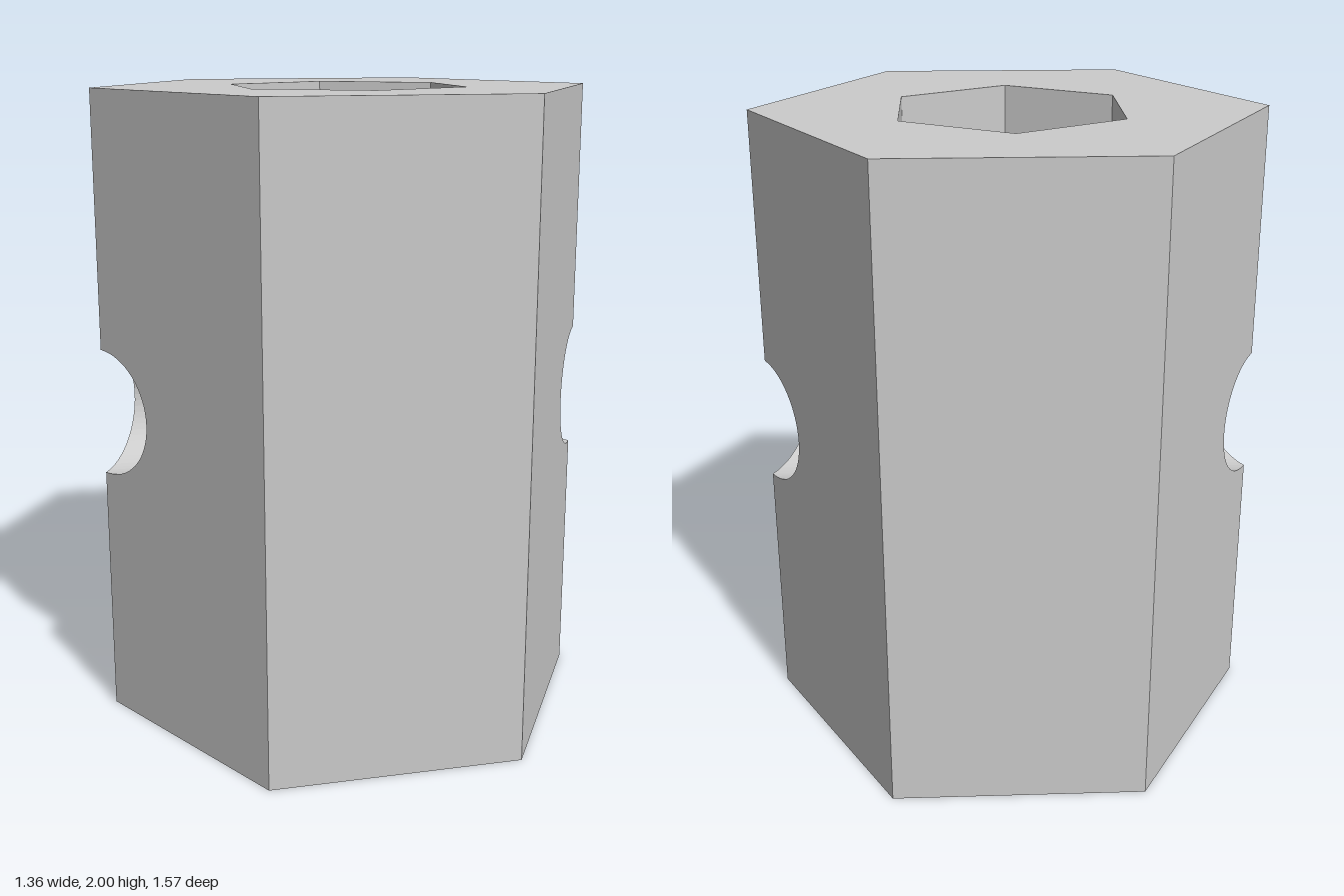
import * as THREE from 'three';

const R = 0.786;              // outer hexagon corner radius
const RI = 0.382;             // bore hexagon corner radius
const H = 2, MID = 1;         // height, height of the cross hole
const HOLE = 0.2;             // cross hole radius
const C30 = Math.sqrt(3) / 2, T60 = Math.sqrt(3);

// Distance of each skin along the cross hole axis (local x) at side offset s (local z)
const outer = s => R - Math.abs(s) / T60;
const inner = s => Math.min(RI * C30, T60 * (RI - Math.abs(s)));

// Angles round the upper half of the hole, with the bore corners included
const corner = Math.asin(RI / 2 / HOLE);
const angles = [-corner, corner];
for (let i = 0; i <= 32; i++) angles.push(-Math.PI / 2 + i * Math.PI / 32);
angles.sort((a, b) => a - b);

// Collects four-cornered faces; flip reverses the facing side
function addQuad(out, a, b, c, d, flip) {
  const order = flip ? [a, c, b, a, d, c] : [a, b, c, a, c, d];
  for (const p of order) out.push(...p);
}

function toGeometry(points) {
  const geo = new THREE.BufferGeometry();
  geo.setAttribute('position', new THREE.Float32BufferAttribute(points, 3));
  geo.computeVertexNormals();
  return geo;
}

// Half of a hexagonal wall, folded along depth(s), with the round opening left out
function wall(depth, halfWidth, inward) {
  const cols = [-halfWidth, ...angles.map(t => HOLE * Math.sin(t)), halfWidth];
  const rim = s => Math.sqrt(Math.max(0, HOLE * HOLE - s * s));
  const out = [];
  for (let i = 0; i < cols.length - 1; i++) {
    const s = cols[i], e = cols[i + 1];
    for (const v of [1, -1]) {
      addQuad(out,
        [depth(s), MID + v * rim(s), s], [depth(s), MID + v * H / 2, s],
        [depth(e), MID + v * H / 2, e], [depth(e), MID + v * rim(e), e],
        inward !== (v < 0));
    }
  }
  return toGeometry(out);
}

// Round tunnel between the outer wall and the bore
function tunnel() {
  const out = [];
  for (let i = 0; i < angles.length - 1; i++) {
    const [s, e] = [angles[i], angles[i + 1]].map(t => HOLE * Math.sin(t));
    const [p, q] = [angles[i], angles[i + 1]].map(t => HOLE * Math.cos(t));
    for (const v of [1, -1]) {
      addQuad(out,
        [inner(s), MID + v * p, s], [outer(s), MID + v * p, s],
        [outer(e), MID + v * q, e], [inner(e), MID + v * q, e], v < 0);
    }
  }
  return toGeometry(out);
}

function hexagon(radius, start) {
  return Array.from({ length: 6 }, (_, i) => {
    const a = start + i * Math.PI / 3;
    return new THREE.Vector2(radius * Math.cos(a), radius * Math.sin(a));
  });
}

export function createModel() {
  const model = new THREE.Group();
  model.name = 'hexSleeve';
  const material = new THREE.MeshStandardMaterial({ color: 0xcccccc, flatShading: true });
  const add = (parent, name, geo) => {
    const mesh = new THREE.Mesh(geo, material);
    mesh.name = name;
    parent.add(mesh);
    return mesh;
  };

  // Two identical halves, half a turn apart
  const sideFace = new THREE.PlaneGeometry(R, H).translate(0, MID, R * C30);
  const parts = {
    outerWall: wall(outer, R * C30, false),
    boreWall: wall(inner, RI, true),
    crossHole: tunnel(),
    sideFace,
  };
  for (const turn of [0, Math.PI]) {
    const half = new THREE.Group();
    half.name = turn ? 'backHalf' : 'frontHalf';
    half.rotation.y = turn;
    for (const [name, geo] of Object.entries(parts)) add(half, name, geo);
    model.add(half);
  }

  // Flat ends with the hexagonal bore
  const ring = new THREE.Shape(hexagon(R, 0));
  ring.holes.push(new THREE.Path(hexagon(RI, Math.PI / 6)));
  add(model, 'topEnd', new THREE.ShapeGeometry(ring).rotateX(-Math.PI / 2)).position.y = H;
  add(model, 'bottomEnd', new THREE.ShapeGeometry(ring).rotateX(Math.PI / 2));

  // Turn the cross hole axis towards the front left corner
  model.rotation.y = -Math.PI / 6;
  const root = new THREE.Group();
  root.name = 'hexagonalCoupling';
  root.add(model);
  return root;
}
